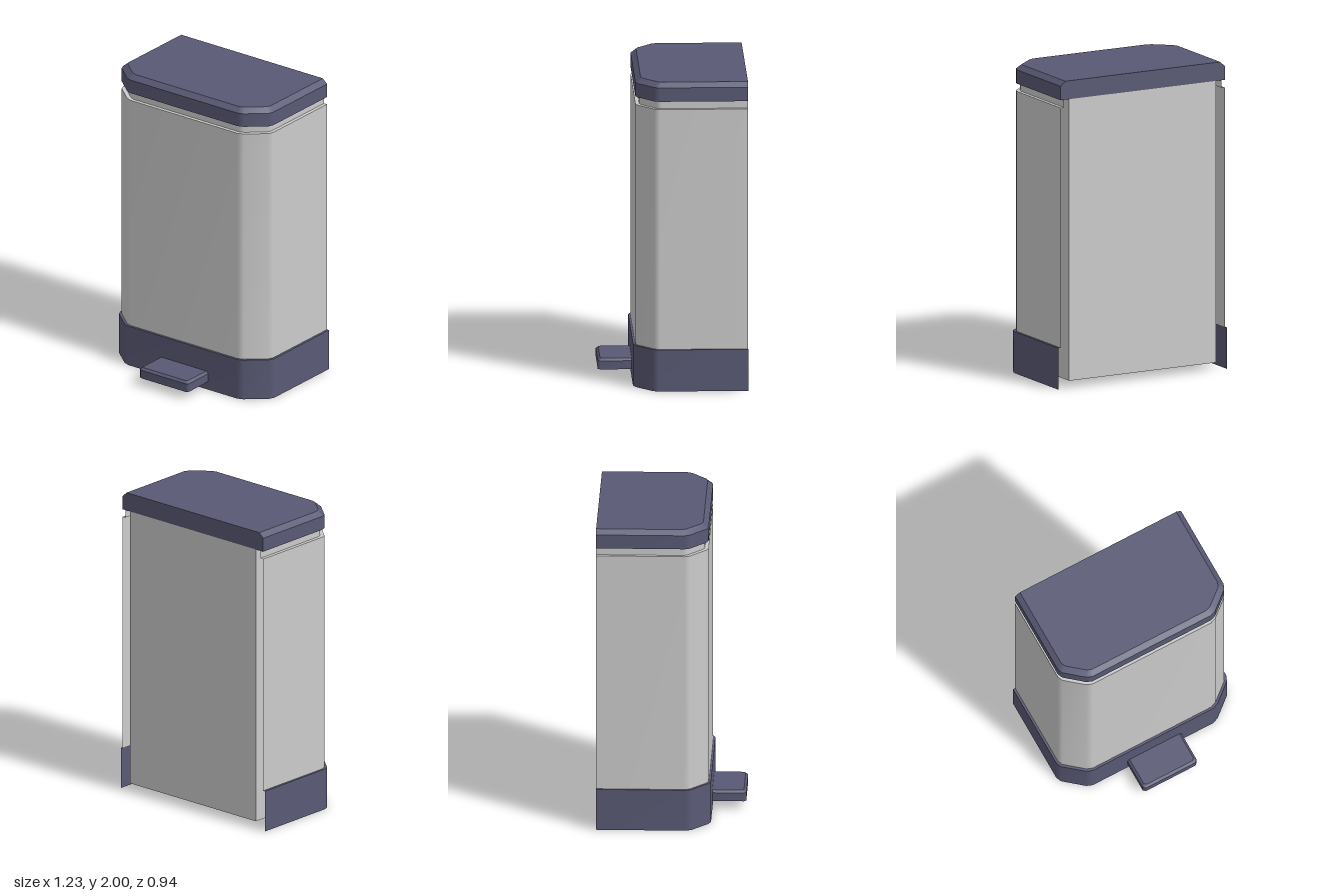
import * as THREE from 'three';
import { mergeGeometries } from 'three/addons/utils/BufferGeometryUtils.js';

const BLUE = 0x595975, GREY = 0xcccccc, BACK = -0.47;

// Front corner, measured inward from the sharp corner [dx, dz]
const BODY_CORNER = [[0, -0.155], [-0.015, -0.12], [-0.14, -0.015], [-0.18, 0]];
const PEDAL_CORNER = [[0, -0.015], [-0.015, 0]];

// Plan outlines, open at the back, running from +x round the front to -x
function outline(halfWidth, front, back, corner, k) {
  const right = [[halfWidth, back], ...corner.map(([dx, dz]) => [halfWidth + dx * k, front + dz * k])];
  return [...right, ...right.map(([x, z]) => [-x, z]).reverse()];
}
const bodyOutline = (inset) => outline(0.615 - inset, 0.255 - inset, BACK, BODY_CORNER, 1 - 3 * inset);
const pedalOutline = (inset) => outline(0.195 - inset, 0.47 - inset, 0.24, PEDAL_CORNER, 1);

// Wall through levels [inset, y]; smooth round the corners, sharp between levels
function wall(plan, levels) {
  const bands = [];
  for (let l = 0; l + 1 < levels.length; l++) {
    const pos = [], index = [];
    const [low, high] = [levels[l], levels[l + 1]];
    const a = plan(low[0]), b = plan(high[0]);
    a.forEach(([x, z], i) => {
      pos.push(x, low[1], z, b[i][0], high[1], b[i][1]);
      if (i + 1 < a.length) {
        const n = i * 2;
        index.push(n, n + 1, n + 2, n + 2, n + 1, n + 3);
      }
    });
    const g = new THREE.BufferGeometry();
    g.setAttribute('position', new THREE.Float32BufferAttribute(pos, 3));
    g.setIndex(index);
    g.computeVertexNormals();
    bands.push(g);
  }
  return mergeGeometries(bands);
}

function flat(points) {
  const g = new THREE.ShapeGeometry(new THREE.Shape(points.map(([x, y]) => new THREE.Vector2(x, y))));
  g.deleteAttribute('uv');
  return g;
}

// Horizontal cap, facing up (dir 1) or down (dir -1)
function cap(plan, [inset, y], dir) {
  return flat(plan(inset).map(([x, z]) => [x, -z * dir])).rotateX(-dir * Math.PI / 2).translate(0, y, 0);
}

// Flat back panel following the levels
function backPanel(plan, levels) {
  const side = levels.map(([inset, y]) => [plan(inset)[0][0], y]);
  const other = side.map(([x, y]) => [-x, y]).reverse();
  return flat([...side, ...other]).rotateY(Math.PI).translate(0, 0, BACK);
}

function solid(plan, levels) {
  return mergeGeometries([
    wall(plan, levels),
    backPanel(plan, levels),
    cap(plan, levels[0], -1),
    cap(plan, levels[levels.length - 1], 1),
  ]);
}

export function createModel() {
  const group = new THREE.Group();
  const add = (name, geometry, color) => {
    const material = new THREE.MeshStandardMaterial({ color, side: THREE.DoubleSide });
    const mesh = new THREE.Mesh(geometry, material);
    mesh.name = name;
    group.add(mesh);
    return mesh;
  };

  // Inner bucket with its flat back
  add('innerBucket', solid(bodyOutline, [[0.078, 0.05], [0.078, 1.88]]), GREY);

  // Outer shell, open at the back, stepping in to a neck below the lid
  add('outerShell', wall(bodyOutline, [[0.015, 0.27], [0.015, 1.83], [0.039, 1.83], [0.039, 1.88]]), GREY);

  // Base skirt with a narrow top ledge
  add('baseSkirt', wall(bodyOutline, [[0, 0], [0, 0.27], [0.015, 0.27]]), BLUE);

  // Lid with bevelled front and sides
  add('lid', solid(bodyOutline, [[0.015, 1.88], [0.015, 1.97], [0.049, 2]]), BLUE);

  // Foot pedal, hollow underneath
  const pedalLevels = [[0.03, 0.1], [0.03, 0.055], [0, 0.055], [0, 0.11], [0.015, 0.125]];
  const pedal = add('footPedal', mergeGeometries([
    wall(pedalOutline, pedalLevels),
    cap(pedalOutline, pedalLevels[0], -1),
    cap(pedalOutline, pedalLevels[4], 1),
  ]), BLUE);
  pedal.position.x = 0.01;

  return group;
}
